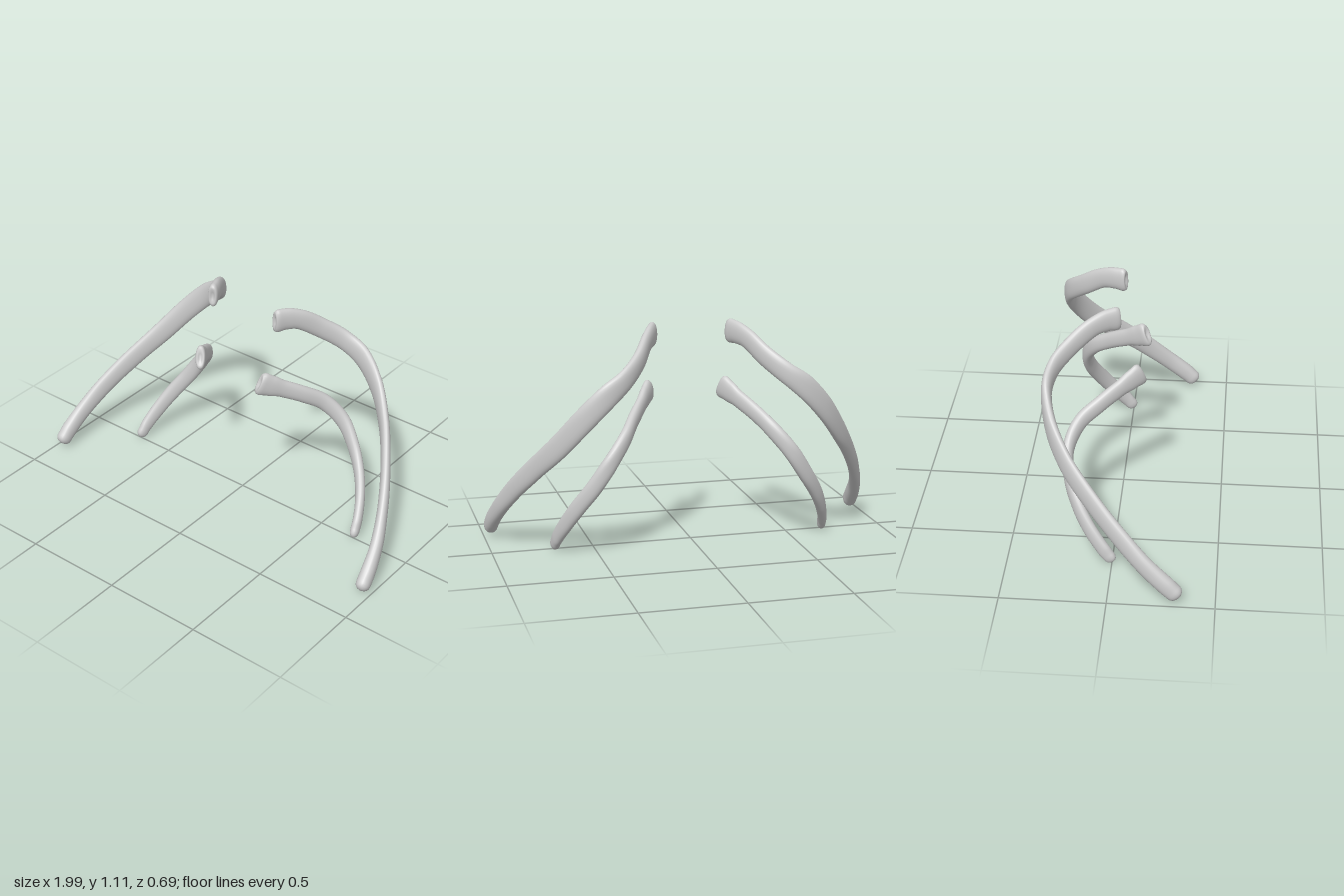
import * as THREE from 'three';
import { mergeVertices } from 'three/addons/utils/BufferGeometryUtils.js';

// Stations along the left ribs: x, y, z, half height, half thickness
const UPPER = [
  [0.197, 1.062, -0.02, 0.06, 0.025],
  [0.215, 1.06, -0.06, 0.056, 0.025],
  [0.25, 1.04, -0.125, 0.05, 0.025],
  [0.31, 0.97, -0.22, 0.05, 0.026],
  [0.39, 0.9, -0.293, 0.051, 0.025],
  [0.48, 0.832, -0.318, 0.056, 0.025],
  [0.59, 0.718, -0.292, 0.056, 0.025],
  [0.7, 0.575, -0.21, 0.056, 0.024],
  [0.8, 0.44, -0.085, 0.053, 0.024],
  [0.88, 0.312, 0.045, 0.05, 0.026],
  [0.935, 0.19, 0.17, 0.046, 0.03],
  [0.957, 0.105, 0.265, 0.045, 0.034],
  [0.962, 0.064, 0.308, 0.042, 0.034],
];
const LOWER = [
  [0.192, 0.76, 0.09, 0.06, 0.025],
  [0.215, 0.741, 0.055, 0.054, 0.025],
  [0.25, 0.71, 0.0, 0.044, 0.024],
  [0.31, 0.655, -0.09, 0.042, 0.026],
  [0.37, 0.588, -0.178, 0.041, 0.027],
  [0.45, 0.488, -0.226, 0.04, 0.027],
  [0.53, 0.368, -0.213, 0.04, 0.026],
  [0.6, 0.263, -0.167, 0.04, 0.025],
  [0.65, 0.168, -0.108, 0.039, 0.024],
  [0.682, 0.085, -0.045, 0.036, 0.023],
  [0.69, 0.045, -0.014, 0.032, 0.022],
];

const STEPS = 72, SIDES = 24;
// End caps: offset beyond the end, section scale. The head is dimpled, the tip is round.
const HEAD_CAP = [[0.008, 0], [0.014, 0.35], [0.02, 0.65], [0.018, 0.86], [0.009, 0.97]];
const TIP_CAP = [[0.012, 0.94], [0.022, 0.78], [0.029, 0.5], [0.032, 0.22], [0.033, 0]];

// Sweeps an upright flattened oval along a rib's centreline
function ribGeometry(stations, side) {
  const path = new THREE.CatmullRomCurve3(stations.map(s => new THREE.Vector3(s[0], s[1], s[2])));
  const last = stations.length - 1;
  const up = new THREE.Vector3(0, 1, 0);
  const rings = [
    ...HEAD_CAP.map(([d, k]) => [0, -d, k]),
    ...Array.from({ length: STEPS + 1 }, (_, i) => [i / STEPS, 0, 1]),
    ...TIP_CAP.map(([d, k]) => [1, d, k]),
  ];
  const positions = [], index = [];

  rings.forEach(([u, offset, scale], i) => {
    const t = path.getTangent(u);
    const n = t.clone().cross(up).normalize();
    const b = n.clone().cross(t);
    const centre = path.getPoint(u).addScaledVector(t, offset);
    const k = Math.min(Math.floor(u * last), last - 1);
    const f = THREE.MathUtils.smoothstep(u * last - k, 0, 1);
    const h = THREE.MathUtils.lerp(stations[k][3], stations[k + 1][3], f) * scale;
    const w = THREE.MathUtils.lerp(stations[k][4], stations[k + 1][4], f) * scale;
    for (let j = 0; j < SIDES; j++) {
      const a = (j / SIDES) * Math.PI * 2;
      const c = Math.cos(a), s = Math.sin(a);
      const p = centre.clone()
        .addScaledVector(n, w * Math.sign(c) * Math.abs(c) ** 0.9)
        .addScaledVector(b, h * Math.sign(s) * Math.abs(s) ** 0.9);
      positions.push(p.x * side, p.y, p.z);
      if (i < rings.length - 1) {
        const p0 = i * SIDES + j, p1 = i * SIDES + (j + 1) % SIDES;
        const q0 = p0 + SIDES, q1 = p1 + SIDES;
        if (side > 0) index.push(p0, q0, p1, p1, q0, q1);
        else index.push(p0, p1, q0, p1, q1, q0);
      }
    }
  });

  const geometry = new THREE.BufferGeometry();
  geometry.setAttribute('position', new THREE.Float32BufferAttribute(positions, 3));
  geometry.setIndex(index);
  const merged = mergeVertices(geometry, 1e-5);
  merged.computeVertexNormals();
  return merged;
}

export function createModel() {
  const bone = new THREE.MeshStandardMaterial({ color: 0xcccccc });
  bone.name = 'bone grey';
  const model = new THREE.Group();
  model.name = 'ribPairs';

  // Two mirrored pairs
  for (const [name, stations] of [['UpperRib', UPPER], ['LowerRib', LOWER]]) {
    for (const side of [1, -1]) {
      const rib = new THREE.Mesh(ribGeometry(stations, side), bone);
      rib.name = (side > 0 ? 'left' : 'right') + name;
      model.add(rib);
    }
  }
  return model;
}
